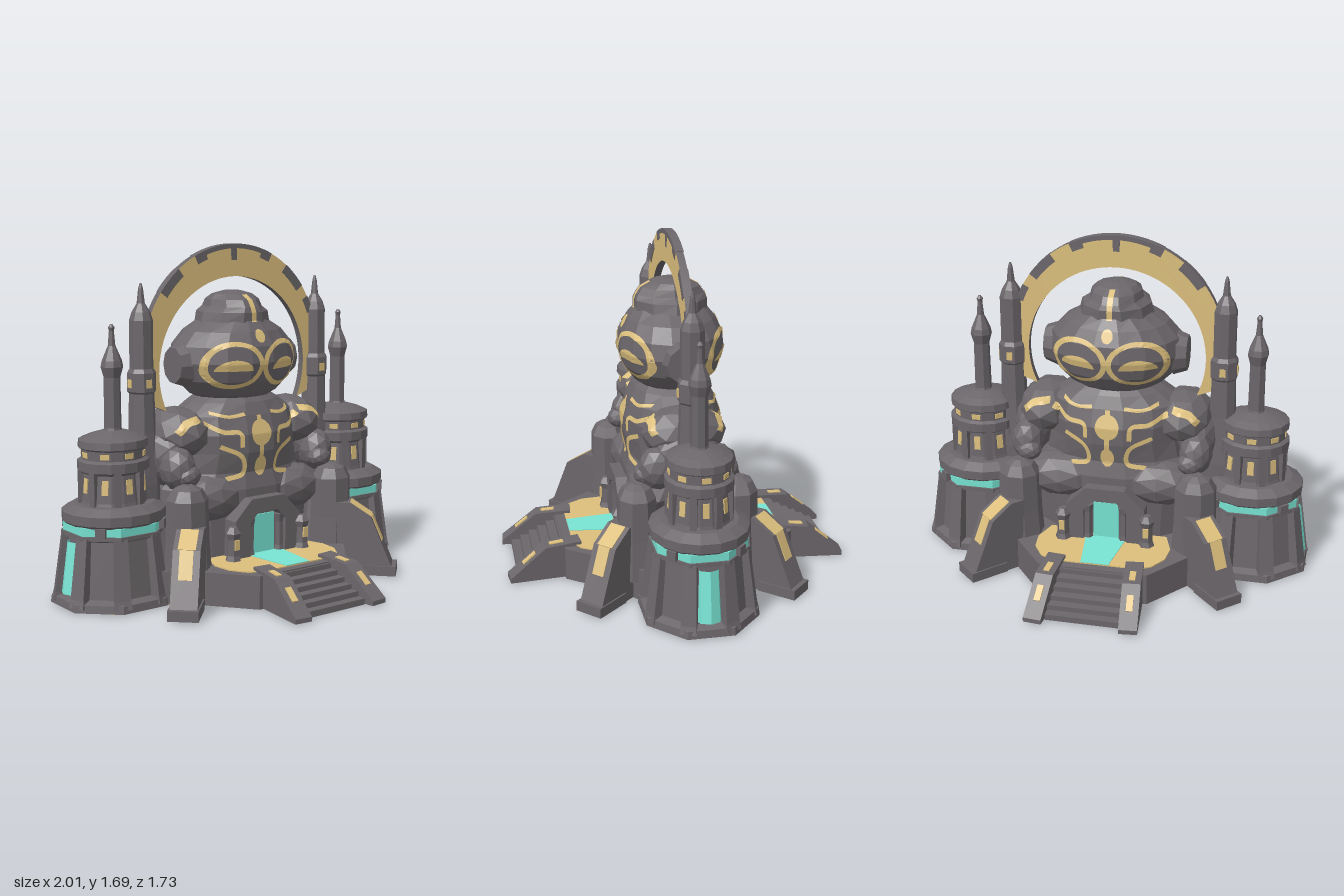
import * as THREE from 'three';

const mat = (name, color, extra = {}) =>
  Object.assign(new THREE.MeshStandardMaterial({ color, flatShading: true, ...extra }), { name });

export function createModel() {
  const stone = mat('stone', 0x6b666a);
  const gold = mat('gold', 0xdcbf7d, { side: THREE.DoubleSide });
  const teal = mat('teal', 0x78e4d3, { side: THREE.DoubleSide });
  const root = new THREE.Group();
  root.name = 'temple';

  const add = (parent, name, geo, material, x = 0, y = 0, z = 0, ry = 0) => {
    const m = new THREE.Mesh(geo, material);
    m.name = name;
    m.position.set(x, y, z);
    m.rotation.order = 'YXZ';
    m.rotation.y = ry;
    parent.add(m);
    return m;
  };
  const box = (w, h, d) => new THREE.BoxGeometry(w, h, d);

  // Stacked elliptical sections [y, rx, rz], listed from bottom to top
  const loft = (sections, n) => {
    const rows = sections.length - 1;
    const g = new THREE.CylinderGeometry(1, 1, 1, n, rows);
    g.rotateY(Math.PI / n);
    const p = g.attributes.position;
    for (let i = 0; i < p.count; i++) {
      const [y, rx, rz = rx] = sections[Math.round((p.getY(i) + 0.5) * rows)];
      p.setXYZ(i, p.getX(i) * rx, y, p.getZ(i) * rz);
    }
    g.computeVertexNormals();
    return g;
  };
  const shape = (pts) => new THREE.Shape(pts.map(([x, y]) => new THREE.Vector2(x, y)));
  const extrude = (s, depth) => new THREE.ExtrudeGeometry(s, { depth, bevelEnabled: false, curveSegments: 28 });
  // Profile in (z, y), extruded along x and centred
  const sideProfile = (pts, w) => extrude(shape(pts), w).rotateY(-Math.PI / 2).translate(w / 2, 0, 0);
  // Outline in (x, z), laid flat at height y with thickness h
  const slab = (pts, h, y) => extrude(shape(pts), h).rotateX(Math.PI / 2).translate(0, y + h, 0);
  const fourfold = (pts) => {
    const back = [...pts].reverse();
    return [...pts, ...back.map(([x, z]) => [x, -z]), ...pts.map(([x, z]) => [-x, -z]), ...back.map(([x, z]) => [-x, z])];
  };

  // Ground plate and platform
  add(root, 'underside', slab(fourfold([[0.26, 0.56], [0.45, 0.32], [0.58, 0.25], [0.83, 0.25], [0.97, 0.11]]), 0.003, 0.003), gold);
  add(root, 'platform', slab(fourfold([[0.27, 0.58], [0.47, 0.33], [0.62, 0.22]]), 0.162, 0.006), stone);

  // Seated figure
  const torso = add(root, 'torso', loft([[0.16, 0.42, 0.24], [0.38, 0.44, 0.25], [0.5, 0.43, 0.25], [0.58, 0.37, 0.23],
    [0.68, 0.35, 0.25], [0.77, 0.36, 0.25], [0.86, 0.34, 0.22], [0.92, 0.25, 0.19], [0.96, 0.18, 0.15]], 14), stone);
  const head = add(root, 'head', loft([[0.92, 0.16, 0.14], [0.96, 0.24, 0.19], [1.03, 0.31, 0.24], [1.12, 0.34, 0.265],
    [1.2, 0.325, 0.255], [1.27, 0.26, 0.22], [1.32, 0.17, 0.18]], 16), stone);
  const cap = add(root, 'cap', loft([[1.27, 0.17, 0.18], [1.3, 0.19, 0.185], [1.36, 0.175, 0.185], [1.385, 0.135, 0.175],
    [1.42, 0.125, 0.15], [1.445, 0.1, 0.1], [1.46, 0.045, 0.045]], 10), stone);
  const ball = (name, x, y, z, rx, ry, rz) =>
    add(root, name, new THREE.IcosahedronGeometry(1, 1).scale(rx, ry, rz), stone, x, y, z);
  const targets = [torso, head, cap];
  for (const s of [-1, 1]) {
    targets.push(ball('shoulder', s * 0.35, 0.78, 0, 0.15, 0.13, 0.21));
    ball('upperArm', s * 0.42, 0.68, 0, 0.11, 0.16, 0.17);
    const ear = add(root, 'ear', new THREE.CylinderGeometry(0.09, 0.115, 0.07, 10).rotateZ(-s * Math.PI / 2), stone, s * 0.325, 1.11, 0);
    ear.scale.z = 0.9;
    for (const f of [-1, 1]) {
      ball('forearm', s * 0.43, 0.63, f * 0.14, 0.085, 0.11, 0.1);
      ball('hand', s * 0.41, 0.6, f * 0.2, 0.065, 0.055, 0.06);
      ball('thigh', s * 0.25, 0.46, f * 0.14, 0.2, 0.12, 0.13);
    }
  }

  // Halo arch
  const arch = (a0, a1, y0, r0, y1, r1) => {
    const s = new THREE.Shape();
    s.absarc(0, y1, r1, a0, a1, false);
    s.absarc(0, y0, r0, a1, a0, true);
    return s;
  };
  const rad = THREE.MathUtils.degToRad;
  add(root, 'halo', extrude(arch(rad(-25), rad(205), 1.08, 0.45, 1.15, 0.54), 0.036).translate(0, 0, -0.018), [gold, stone]);
  for (const [a, b, r] of [[64, 116, 0.518], [88, 92, 0.46], [109, 116, 0.495], [64, 71, 0.495],
    [128, 144, 0.495], [36, 52, 0.495], [20, 29, 0.505]])
    add(root, 'haloRim', extrude(arch(rad(a), rad(b), 1.15, r, 1.15, 0.541), 0.042).translate(0, 0, -0.021), stone);

  // Painted lines laid onto the figure's surface
  root.updateMatrixWorld(true);
  const ray = new THREE.Raycaster();
  const surfaceZ = (x, y) => {
    ray.set(new THREE.Vector3(x, y, 2), new THREE.Vector3(0, 0, -1));
    const hit = ray.intersectObjects(targets, false)[0];
    return hit ? hit.point.z + 0.006 : 0;
  };
  const drape = (g) => {
    const p = g.attributes.position;
    for (let i = 0; i < p.count; i++) p.setZ(i, surfaceZ(p.getX(i), p.getY(i)));
    g.computeVertexNormals();
    return g;
  };
  const line = (pts, w) => {
    const curve = new THREE.CatmullRomCurve3(pts.map(([x, y]) => new THREE.Vector3(x, y, 0)), false, 'centripetal');
    const g = new THREE.PlaneGeometry(1, 1, 24, 2), p = g.attributes.position;
    for (let i = 0; i < p.count; i++) {
      const t = p.getX(i) + 0.5, c = curve.getPointAt(t), d = curve.getTangentAt(t), o = p.getY(i) * w;
      p.setXY(i, c.x - d.y * o, c.y + d.x * o);
    }
    return drape(g);
  };
  const oval = (x, y, rx, ry, inner = 0, a0 = 0, a1 = Math.PI * 2) =>
    drape(new THREE.RingGeometry(inner, 1, 32, inner ? 2 : 5, a0, a1).scale(rx, ry, 1).translate(x, y, 0));

  // Everything that appears on both the front and the back
  const half = new THREE.Group();
  half.name = 'frontHalf';
  add(half, 'chestMark', oval(0, 0.775, 0.06, 0.065), gold);
  add(half, 'chestLine', line([[0, 0.86], [0, 0.7], [0, 0.56]], 0.026), gold);
  add(half, 'bellyMark', oval(0, 0.61, 0.035, 0.05), gold);
  add(half, 'browMark', oval(0, 1.25, 0.028, 0.032), gold);
  add(half, 'capStripe', line([[0, 1.315], [0, 1.38], [0, 1.445]], 0.028), gold);
  for (const s of [-1, 1]) {
    add(half, 'eyeRing', oval(s * 0.145, 1.112, 0.148, 0.117, 0.81), gold);
    add(half, 'eye', oval(s * 0.15, 1.085, 0.09, 0.055, 0, 0, Math.PI), gold);
    add(half, 'chestLine', line([[s * 0.29, 0.84], [s * 0.2, 0.79], [s * 0.12, 0.78], [s * 0.11, 0.71]], 0.022), gold);
    add(half, 'bellyLine', line([[s * 0.22, 0.72], [s * 0.11, 0.66], [s * 0.1, 0.58], [s * 0.19, 0.555]], 0.022), gold);
    add(half, 'collarLine', line([[s * 0.24, 0.88], [s * 0.16, 0.86], [s * 0.08, 0.87]], 0.016), gold);
    add(half, 'shoulderLine', line([[s * 0.44, 0.8], [s * 0.39, 0.845], [s * 0.31, 0.86]], 0.028), gold);
  }

  // Doorway
  const portal = shape([[-0.2, 0.16], [0.2, 0.16], [0.2, 0.36], [0.1, 0.46], [-0.1, 0.46], [-0.2, 0.36]]);
  portal.holes.push(new THREE.Path([[-0.11, 0.17], [-0.11, 0.34], [-0.06, 0.39], [0.06, 0.39], [0.11, 0.34], [0.11, 0.17]]
    .map(([x, y]) => new THREE.Vector2(x, y))));
  add(half, 'doorway', extrude(portal, 0.18), stone, 0, 0, 0.12);
  add(half, 'door', box(0.13, 0.2, 0.008), teal, 0, 0.27, 0.262);
  for (const s of [-1, 1]) {
    add(half, 'doorPost', loft([[0.16, 0.03], [0.2, 0.022], [0.32, 0.022], [0.36, 0.03]], 6), stone, s * 0.092, 0, 0.27);
    add(half, 'porchPost', loft([[0.16, 0.045], [0.2, 0.032], [0.28, 0.03], [0.31, 0.04], [0.34, 0.02]], 6), stone, s * 0.215, 0, 0.3);
    add(half, 'postMark', box(0.028, 0.05, 0.008), gold, s * 0.215, 0.255, 0.331);
  }

  // Court paving and carpet
  add(half, 'paving', slab([[-0.3, 0.2], [-0.34, 0.32], [-0.33, 0.42], [-0.28, 0.5], [-0.22, 0.535],
    [0.22, 0.535], [0.28, 0.5], [0.33, 0.42], [0.34, 0.32], [0.3, 0.2]], 0.006, 0.168), gold);
  add(half, 'carpet', slab([[-0.105, 0.26], [-0.07, 0.535], [0.07, 0.535], [0.105, 0.26]], 0.006, 0.171), teal);

  // Stairs with flared side walls
  for (let i = 0; i < 6; i++) {
    const h = 0.155 - i * 0.025;
    add(half, 'step', box(0.36, h, 0.05), stone, 0, 0.006 + h / 2, 0.565 + i * 0.045);
  }
  for (const s of [-1, 1]) {
    const wall = new THREE.Group();
    wall.name = 'stairWall';
    wall.position.set(s * 0.2, 0, 0.53);
    wall.rotation.y = s * 0.1;
    add(wall, 'wall', sideProfile([[-0.03, 0.008], [0.33, 0.008], [0.33, 0.03], [0.15, 0.175], [-0.03, 0.19]], 0.09), stone);
    add(wall, 'slopeMark', box(0.032, 0.008, 0.08), gold, 0, 0.115, 0.228).rotation.x = 0.68;
    add(wall, 'wallMark', box(0.03, 0.008, 0.07), gold, 0, 0.181, 0.09).rotation.x = 0.083;
    half.add(wall);

    // Diagonal buttress
    const butt = new THREE.Group();
    butt.name = 'buttress';
    butt.position.set(s * 0.42, 0, 0.26);
    butt.rotation.y = s * 0.76;
    add(butt, 'buttressBody', sideProfile([[0, 0.008], [0.35, 0.008], [0.34, 0.05], [0.23, 0.31], [0.12, 0.38], [0, 0.38]], 0.13), stone);
    add(butt, 'buttressFoot', box(0.145, 0.05, 0.2), stone, 0, 0.033, 0.26);
    add(butt, 'buttressMark', box(0.085, 0.008, 0.13), gold, 0, 0.345, 0.175).rotation.x = 0.567;
    add(butt, 'buttressMark', box(0.065, 0.008, 0.14), gold, 0, 0.246, 0.257).rotation.x = 1.171;
    half.add(butt);

    // Corner pillar
    add(half, 'cornerPillar', loft([[0.1, 0.125, 0.11], [0.3, 0.11, 0.1], [0.5, 0.105, 0.095], [0.55, 0.075, 0.07], [0.57, 0.03, 0.03]], 8),
      stone, s * 0.45, 0, 0.25);
  }
  const rear = half.clone();
  rear.name = 'backHalf';
  rear.rotation.y = Math.PI;
  root.add(half, rear);

  // Side towers, built facing +x
  const tower = new THREE.Group();
  tower.name = 'leftTower';
  const round = new THREE.Group();
  round.name = 'roundTower';
  round.position.x = 0.705;
  round.scale.z = 0.93;
  tower.add(round);
  add(round, 'towerBase', loft([[0.008, 0.315], [0.045, 0.31], [0.06, 0.265], [0.33, 0.235], [0.34, 0.26], [0.36, 0.26]], 8), stone);
  add(round, 'lightBand', loft([[0.36, 0.25], [0.4, 0.25]], 8), teal);
  add(round, 'lowerCornice', loft([[0.398, 0.24], [0.41, 0.255], [0.455, 0.255], [0.485, 0.2]], 16), stone);
  add(round, 'upperDrum', loft([[0.46, 0.17], [0.5, 0.16], [0.63, 0.148], [0.645, 0.175], [0.69, 0.175], [0.7, 0.155],
    [0.745, 0.155], [0.755, 0.172], [0.79, 0.168], [0.81, 0.12], [0.83, 0.05]], 16), stone);
  for (let i = 0; i < 8; i++) {
    const a = (i * Math.PI) / 4, b = a + Math.PI / 8;
    const at = (r, ang) => [Math.sin(ang) * r, Math.cos(ang) * r];
    let [x, z] = at(0.264, b);
    add(round, 'towerRib', loft([[0.02, 0.062], [0.06, 0.055], [0.35, 0.045]], 4), stone, x, 0, z, b).rotation.x = -0.12;
    [x, z] = at(0.157, b);
    add(round, 'drumRib', box(0.035, 0.17, 0.03), stone, x, 0.56, z, b);
    [x, z] = at(0.152, a);
    add(round, 'drumWindow', box(0.032, 0.07, 0.008), gold, x, 0.575, z, a).rotation.x = -0.09;
    [x, z] = at(0.153, a);
    add(round, 'bandMark', box(0.045, 0.025, 0.008), gold, x, 0.722, z, a);
    if (i % 2) {
      [x, z] = at(0.241, a);
      add(round, 'bandBlock', box(0.05, 0.045, 0.03), stone, x, 0.38, z, a);
    }
  }
  // Glowing bay window
  add(round, 'bayWindow', new THREE.CylinderGeometry(0.06, 0.07, 0.25, 4, 1, true, 0, Math.PI), teal, 0.205, 0.19, 0).rotation.z = 0.1;
  add(tower, 'outerSpire', loft([[0.8, 0.052], [0.84, 0.042], [1.08, 0.04], [1.13, 0.054], [1.16, 0.048], [1.23, 0.018],
    [1.3, 0.012], [1.315, 0.016], [1.33, 0.006]], 8), stone, 0.705);
  add(tower, 'innerSpire', loft([[0.1, 0.09], [0.55, 0.085], [0.8, 0.068], [0.99, 0.062], [1.0, 0.07], [1.09, 0.07], [1.11, 0.058],
    [1.34, 0.058], [1.38, 0.045], [1.42, 0.02], [1.49, 0.012], [1.515, 0.005]], 8), stone, 0.54);
  for (let i = 0; i < 8; i += 2) {
    const a = (i * Math.PI) / 4;
    add(tower, 'spireMark', box(0.03, 0.04, 0.008), gold, 0.54 + Math.sin(a) * 0.066, 1.04, Math.cos(a) * 0.066, a);
  }
  const right = tower.clone();
  right.name = 'rightTower';
  right.rotation.y = Math.PI;
  root.add(tower, right);
  return root;
}
